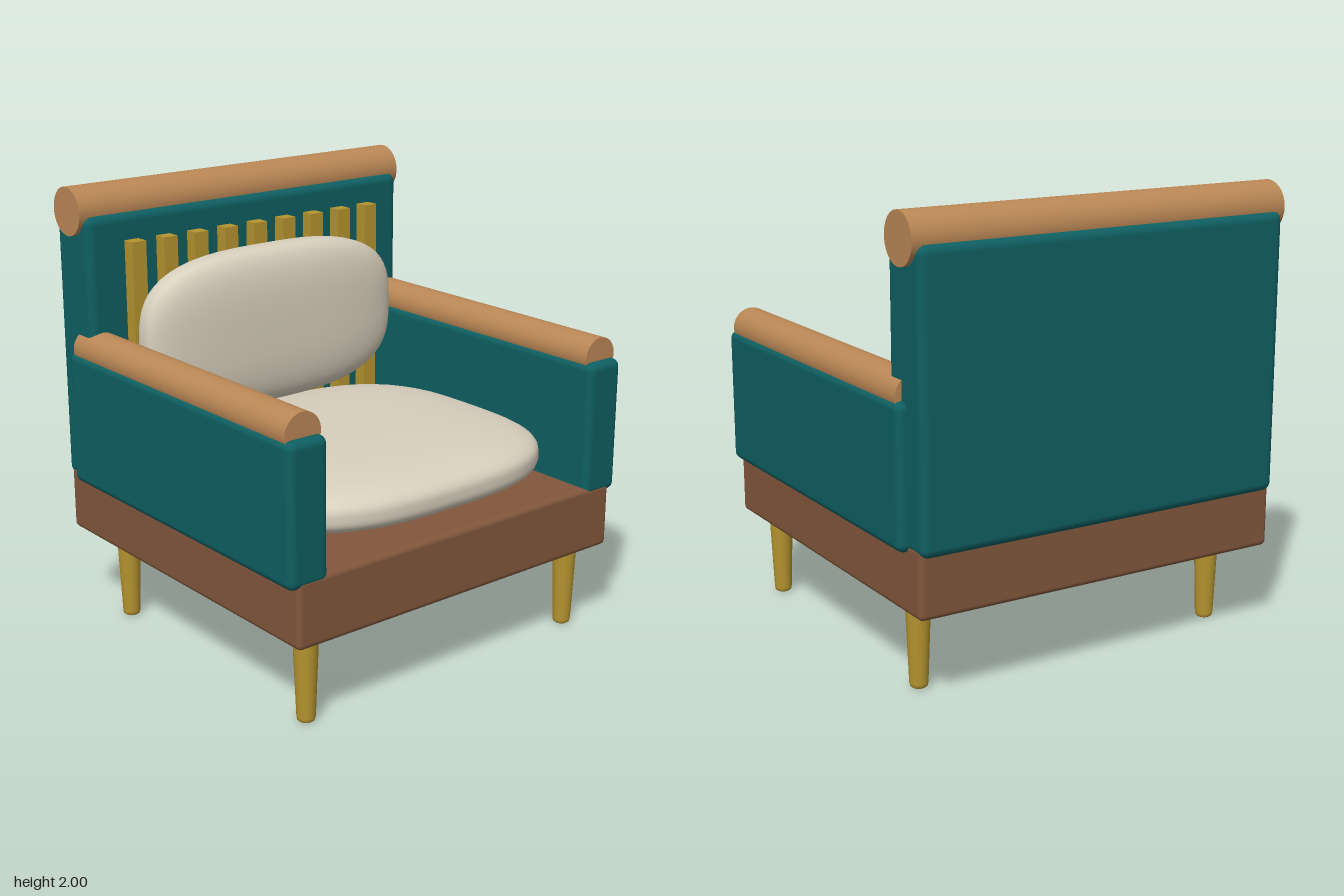
import * as THREE from 'three';
import { RoundedBoxGeometry } from 'three/addons/geometries/RoundedBoxGeometry.js';

function material(name, color) {
  const m = new THREE.MeshStandardMaterial({ color });
  m.name = name;
  return m;
}

// Rounded box given by its min and max corners
function block(min, max, radius) {
  const size = max.map((v, i) => v - min[i]);
  const g = new RoundedBoxGeometry(size[0], size[1], size[2], 3, radius);
  return g.translate(...min.map((v, i) => v + size[i] / 2));
}

// Puffy pillow: a sphere pushed out to a cubic superellipsoid, with exact normals
function pillow(a, b, c) {
  const g = new THREE.SphereGeometry(1, 64, 40);
  const p = g.attributes.position;
  const n = g.attributes.normal;
  const v = new THREE.Vector3();
  for (let i = 0; i < p.count; i++) {
    v.fromBufferAttribute(p, i);
    const len = Math.cbrt(Math.abs(v.x) ** 3 + Math.abs(v.y) ** 3 + Math.abs(v.z) ** 3);
    v.divideScalar(len);
    p.setXYZ(i, v.x * a, v.y * b, v.z * c);
    v.set(v.x * Math.abs(v.x) / a, v.y * Math.abs(v.y) / b, v.z * Math.abs(v.z) / c).normalize();
    n.setXYZ(i, v.x, v.y, v.z);
  }
  return g;
}

export function createModel() {
  const chair = new THREE.Group();
  chair.name = 'armchair';

  const teal = material('teal upholstery', 0x0f5f62);
  const brown = material('brown base', 0x82573c);
  const wood = material('light wood', 0xba8755);
  const gold = material('golden wood', 0xb5942f);
  const cream = material('cream fabric', 0xd8cfbd);

  const add = (name, geometry, mat, x = 0, y = 0, z = 0) => {
    const mesh = new THREE.Mesh(geometry, mat);
    mesh.name = name;
    mesh.position.set(x, y, z);
    chair.add(mesh);
    return mesh;
  };

  // Base and back panel
  add('base', block([-0.88, 0.39, -0.84], [0.88, 0.69, 0.87], 0.025), brown);
  add('backPanel', block([-0.88, 0.65, -0.867], [0.88, 1.88, -0.602], 0.04), teal);

  // Round rail along the top of the back
  const topRail = new THREE.CylinderGeometry(0.108, 0.108, 1.8, 48).rotateZ(Math.PI / 2);
  add('topRail', topRail, wood, 0, 1.892, -0.735);

  // Arms with half-sunk round rails
  const arm = block([-0.097, 0.65, -0.75], [0.097, 1.26, 0.87], 0.035);
  const armRail = new THREE.CylinderGeometry(0.088, 0.088, 1.54, 40).rotateX(Math.PI / 2);
  for (const [side, s] of [['left', 1], ['right', -1]]) {
    add(side + 'Arm', arm, teal, s * 0.823, 0, 0);
    add(side + 'ArmRail', armRail, wood, s * 0.823, 1.275, 0.058);
  }

  // Slats in front of the back panel
  const slat = new THREE.BoxGeometry(0.072, 1.08, 0.075);
  for (let i = -4; i <= 4; i++) add('slat' + (i + 5), slat, gold, i * 0.1647, 1.22, -0.576);

  // Cushions
  add('seatCushion', pillow(0.8, 0.13, 0.71), cream, 0, 0.818, 0.1);
  add('backCushion', pillow(0.7, 0.37, 0.125), cream, 0, 1.302, -0.477);

  // Tapered legs with softened feet
  const profile = [[0, 0], [0.03, 0], [0.037, 0.006], [0.04, 0.02], [0.055, 0.4]];
  const leg = new THREE.LatheGeometry(profile.map(([r, y]) => new THREE.Vector2(r, y)), 28);
  for (const [end, z] of [['front', 0.74], ['back', -0.58]]) {
    add(end + 'LeftLeg', leg, gold, 0.747, 0, z);
    add(end + 'RightLeg', leg, gold, -0.747, 0, z);
  }

  return chair;
}
